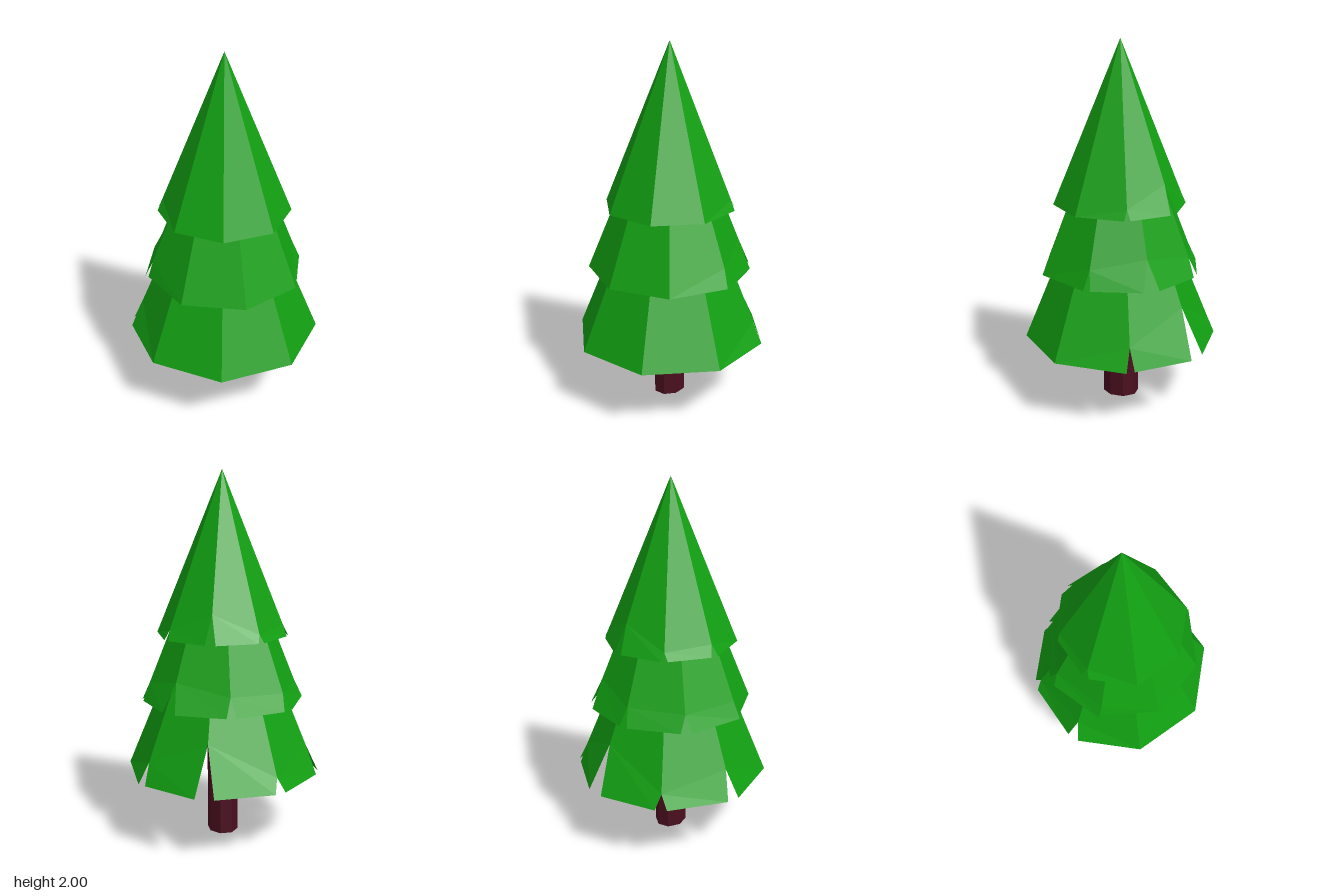
import * as THREE from 'three';

const leaf = new THREE.MeshStandardMaterial({ color: 0x12a012, flatShading: true, side: THREE.DoubleSide });
const bark = new THREE.MeshStandardMaterial({ color: 0x4a0f1e, flatShading: true });

// Each tier: hem height, tip height, panels [x0, z0, x1, z1] running front, right, back, left,
// and how far down the ridge after each panel stays closed (1 = no notch).
const TIERS = [
  {
    name: 'lowerBranches', y: 0.36, tip: 1.65,
    panels: [
      [-0.2, 0.5, 0.21, 0.5], [0.21, 0.5, 0.5, 0.21], [0.5, 0.21, 0.5, -0.185], [0.47, -0.22, 0.25, -0.465],
      [0.155, -0.5, -0.17, -0.49], [-0.23, -0.465, -0.47, -0.23], [-0.5, -0.165, -0.49, 0.21], [-0.49, 0.21, -0.2, 0.5],
    ],
    notch: [1, 1, 0.91, 0.8, 0.94, 0.88, 1, 1],
  },
  {
    name: 'middleBranches', y: 0.76, tip: 1.86,
    panels: [
      [-0.345, 0.29, -0.045, 0.455], [-0.045, 0.455, 0.283, 0.36], [0.283, 0.36, 0.44, 0.07], [0.44, 0.03, 0.375, -0.235],
      [0.32, -0.305, 0.075, -0.425], [0.025, -0.43, -0.25, -0.355], [-0.3, -0.32, -0.44, -0.04], [-0.425, -0.03, -0.345, 0.29],
    ],
    notch: [1, 1, 0.91, 0.86, 0.91, 0.92, 0.92, 1],
  },
  {
    name: 'upperBranches', y: 1.12, tip: 2,
    panels: [
      [-0.13, 0.345, 0.148, 0.345], [0.148, 0.345, 0.342, 0.145], [0.342, 0.145, 0.342, -0.12], [0.325, -0.15, 0.165, -0.315],
      [0.112, -0.335, -0.115, -0.325], [-0.15, -0.307, -0.315, -0.145], [-0.335, -0.105, -0.327, 0.152], [-0.327, 0.152, -0.13, 0.345],
    ],
    notch: [1, 1, 0.94, 0.83, 0.95, 0.93, 1, 1],
  },
];

// Open skirt of flat panels that meet on ridges and part at the notches
function branchTier({ name, y, tip, panels, notch }) {
  const n = panels.length;
  const apex = new THREE.Vector3(0.005, tip, 0.01);
  const start = panels.map(p => new THREE.Vector3(p[0], y, p[1]));
  const end = panels.map(p => new THREE.Vector3(p[2], y, p[3]));
  const ridge = end.map((e, i) => {
    const corner = e.clone().lerp(start[(i + 1) % n], 0.5);
    return apex.clone().lerp(corner, notch[i]);
  });
  const points = [];
  const tri = (a, b, c) => {
    const area = b.clone().sub(a).cross(c.clone().sub(a)).length();
    if (area > 1e-6) points.push(a, b, c);
  };
  for (let i = 0; i < n; i++) {
    const before = ridge[(i + n - 1) % n], after = ridge[i];
    tri(apex, before, after);
    tri(before, start[i], end[i]);
    tri(before, end[i], after);
  }
  const geometry = new THREE.BufferGeometry().setFromPoints(points);
  geometry.computeVertexNormals();
  const mesh = new THREE.Mesh(geometry, leaf);
  mesh.name = name;
  return mesh;
}

export function createModel() {
  const tree = new THREE.Group();
  tree.name = 'tree';

  // Eight-sided trunk, a little deeper than wide, running up inside the branches
  const height = 1;
  const trunkGeometry = new THREE.CylinderGeometry(0.084, 0.084, height, 8);
  trunkGeometry.rotateY(Math.PI / 8).scale(1, 1, 1.19).translate(0.003, height / 2, 0.008);
  const trunk = new THREE.Mesh(trunkGeometry, bark);
  trunk.name = 'trunk';
  tree.add(trunk);

  for (const tier of TIERS) tree.add(branchTier(tier));
  return tree;
}
